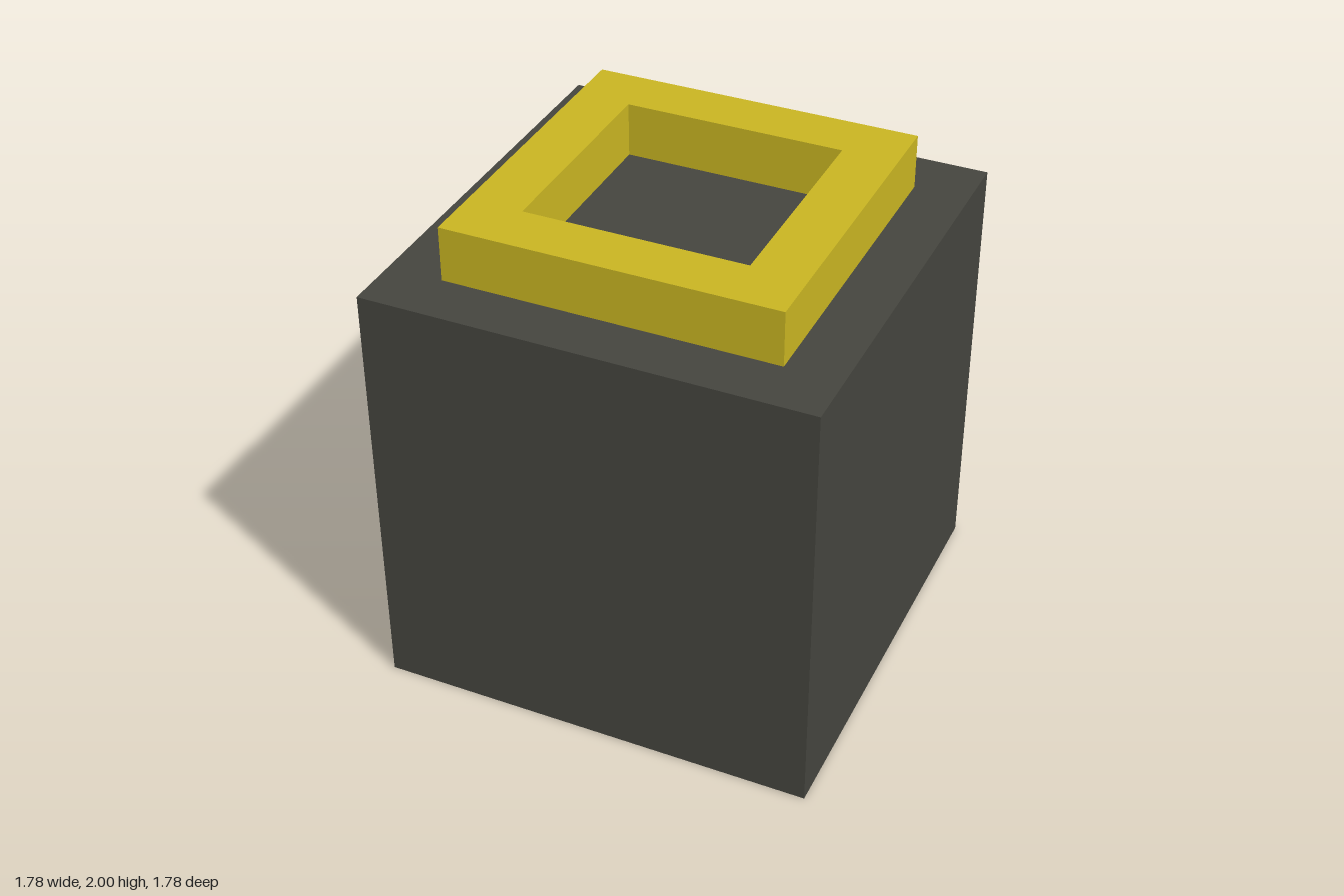
import * as THREE from 'three';

const material = (name, color) => {
  const m = new THREE.MeshStandardMaterial({ color });
  m.name = name;
  return m;
};

// Square outline of the given half width, for a Shape or a Path
const square = (path, h) =>
  path.moveTo(-h, -h).lineTo(h, -h).lineTo(h, h).lineTo(-h, h).closePath();

export function createModel() {
  const charcoal = material('charcoal', 0x45453f);
  const yellow = material('mustard yellow', 0xc9b522);
  const unit = 2 / 9;
  const bodySize = 8 * unit;
  const group = new THREE.Group();
  group.name = 'block';

  // Solid cube body
  const body = new THREE.Mesh(new THREE.BoxGeometry(bodySize, bodySize, bodySize), charcoal);
  body.name = 'body';
  body.position.y = bodySize / 2;
  group.add(body);

  // Square collar, open in the middle, resting on the body
  const outline = square(new THREE.Shape(), 3 * unit);
  outline.holes.push(square(new THREE.Path(), 2 * unit));
  const collarGeometry = new THREE.ExtrudeGeometry(outline, { depth: unit, bevelEnabled: false });
  collarGeometry.rotateX(-Math.PI / 2);
  const collar = new THREE.Mesh(collarGeometry, yellow);
  collar.name = 'collar';
  collar.position.y = bodySize;
  group.add(collar);

  return group;
}
